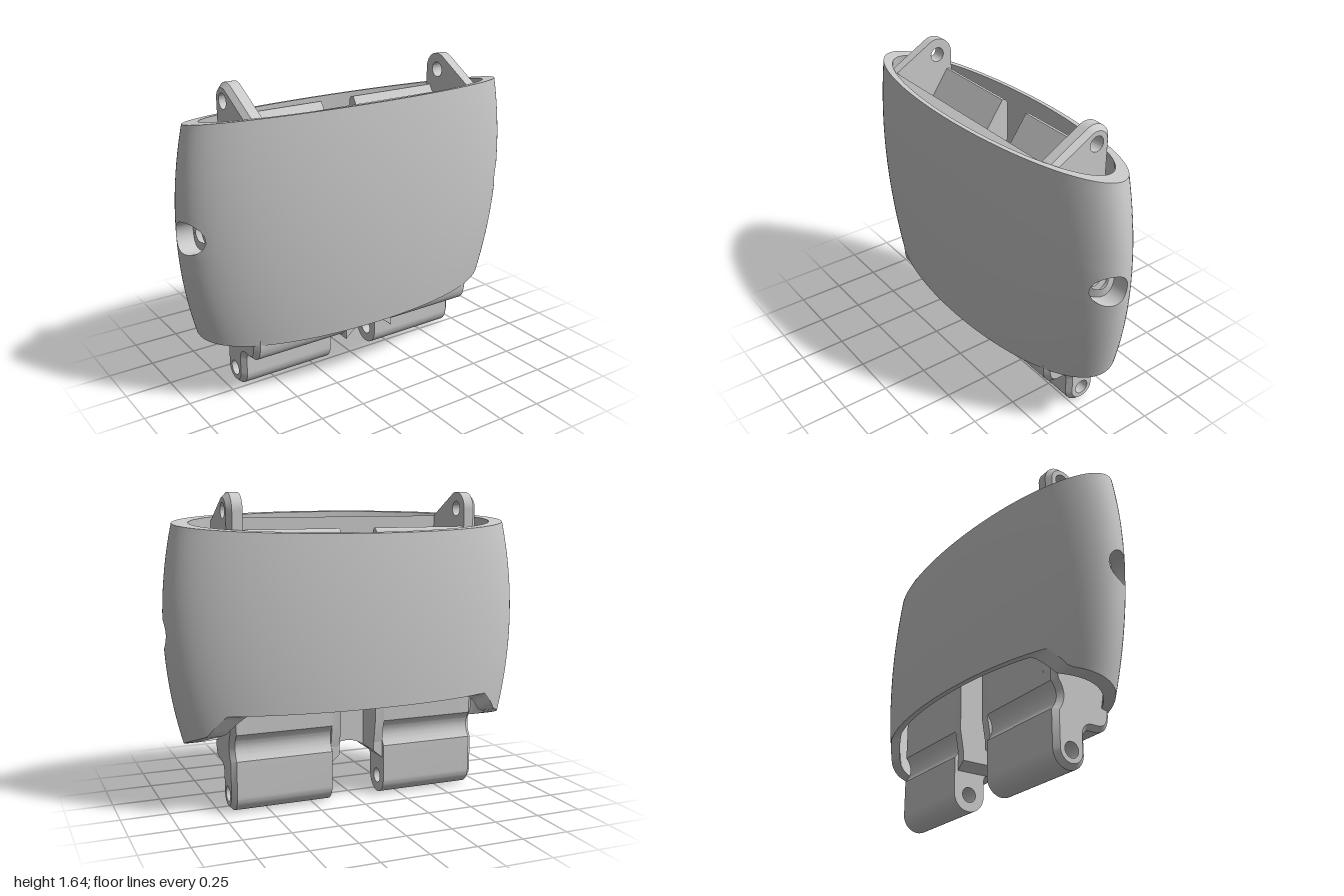
import * as THREE from 'three';
import { toCreasedNormals } from 'three/addons/utils/BufferGeometryUtils.js';

const solid = new THREE.MeshStandardMaterial({ color: 0xcccccc });
const thin = new THREE.MeshStandardMaterial({ color: 0xcccccc, side: THREE.DoubleSide });
const SEG = 128, ROWS = 24, INNER = 0.91;
const HOLE = { z: 0.05, y: 0.94, r: 0.04, bore: 0.085 };
const PIN = 0.06, PIN_TOP = 1.555, PIN_LOW = 0.09;

// Oval section of the shell at height y: half width, half depth, centre in z
const halfW = y => 1 - 0.228 * (y - 0.98) ** 2;
const halfD = y => 0.335 - 0.07 * (y - 0.94) ** 2;
const midZ = y => 0.03 * (y - 0.94);
const topY = z => 1.488 + 0.159 * z;
function bottomY(z) {
  if (z > -0.16) return 0.32 + 0.11 * ((0.29 - z) / 0.45) ** 2;
  return Math.min(0.54, 0.43 + (-0.16 - z) * 1.9);
}
const shellPoint = (t, y, k) =>
  [halfW(y) * k * Math.cos(t), y, midZ(y) + halfD(y) * k * Math.sin(t)];
function edgeY(t, k, rule) {
  let y = rule(0);
  for (let i = 0; i < 8; i++) y = rule(shellPoint(t, y, k)[2]);
  return y;
}
const shellX = (y, z, k) =>
  k * halfW(y) * Math.sqrt(Math.max(0, 1 - ((z - midZ(y)) / (k * halfD(y))) ** 2));

function indexed(points, index) {
  const g = new THREE.BufferGeometry();
  g.setAttribute('position', new THREE.Float32BufferAttribute(points.flat(), 3));
  g.setIndex(index);
  g.computeVertexNormals();
  return g;
}

// Shell wall: a grid with a square block left out on each side,
// filled by a ring that runs from the square to a round hole
function wall(k, holeR, flip) {
  const points = [], params = [], index = [];
  const add = (t, y) => {
    params.push([t, y]);
    return points.push(shellPoint(t, y, k)) - 1;
  };
  const quad = (a, up, side, far) => flip
    ? index.push(a, side, up, side, far, up)
    : index.push(a, up, side, side, up, far);
  const from = -4, to = 10, low = 10, high = 15, half = SEG / 2;
  const blocks = [[from, to], [half - to, half - from]];
  const at = (i, j) => ((i + SEG) % SEG) * (ROWS + 1) + j;
  for (let i = 0; i < SEG; i++) {
    const t = i / SEG * Math.PI * 2;
    const y0 = edgeY(t, k, bottomY), y1 = edgeY(t, k, topY);
    for (let j = 0; j <= ROWS; j++) add(t, y0 + (y1 - y0) * j / ROWS);
  }
  for (let i = from; i < SEG + from; i++) for (let j = 0; j < ROWS; j++) {
    if (j >= low && j < high && blocks.some(([a, b]) => i >= a && i < b)) continue;
    quad(at(i, j), at(i, j + 1), at(i + 1, j), at(i + 1, j + 1));
  }
  blocks.forEach(([a, b], side) => {
    let loop = [];
    for (let i = a; i < b; i++) loop.push(at(i, low));
    for (let j = low; j < high; j++) loop.push(at(b, j));
    for (let i = b; i > a; i--) loop.push(at(i, high));
    for (let j = high; j > low; j--) loop.push(at(a, j));
    const start = loop.map(n => {
      const [t, y] = params[n];
      return [t > Math.PI * 1.5 ? t - Math.PI * 2 : t, y];
    });
    const goal = loop.map(n => {
      const ang = Math.atan2(points[n][1] - HOLE.y, points[n][2] - HOLE.z);
      const y = HOLE.y + holeR * Math.sin(ang), z = HOLE.z + holeR * Math.cos(ang);
      const t = Math.asin((z - midZ(y)) / (k * halfD(y)));
      return [side ? Math.PI - t : t, y];
    });
    for (let s = 1; s <= 3; s++) {
      const next = start.map(([t, y], n) =>
        add(t + (goal[n][0] - t) * s / 3, y + (goal[n][1] - y) * s / 3));
      loop.forEach((n, m) => {
        const q = (m + 1) % loop.length;
        quad(n, next[m], loop[q], next[q]);
      });
      loop = next;
    }
  });
  return indexed(points, index);
}

// Flat rim joining the outer and inner wall
function rim(rule, flip) {
  const points = [], index = [];
  for (let i = 0; i <= SEG; i++) {
    const t = i / SEG * Math.PI * 2;
    for (const k of [1, INNER]) points.push(shellPoint(t, edgeY(t, k, rule), k));
    const n = i * 2;
    if (i < SEG) index.push(...(flip ? [n, n + 2, n + 1, n + 1, n + 2, n + 3]
      : [n, n + 1, n + 2, n + 1, n + 3, n + 2]));
  }
  return indexed(points, index);
}

// Side profiles are drawn with -z to the right and extruded along x
function extrudeX(shape, x0, x1, bevel = 0) {
  const g = new THREE.ExtrudeGeometry(shape, {
    depth: x1 - x0 - 2 * bevel, curveSegments: 20, bevelEnabled: bevel > 0,
    bevelThickness: bevel, bevelSize: bevel, bevelOffset: -bevel, bevelSegments: 1,
  });
  return g.rotateY(Math.PI / 2).translate(x0 + bevel, 0, 0);
}
const smooth = g => toCreasedNormals(g, 0.6);
function drill(shape, centres, r) {
  for (const [x, y] of centres)
    shape.holes.push(new THREE.Path().absarc(x, y, r, 0, Math.PI * 2, true));
  return shape;
}
// Front foot, hinge knuckle and back groove
function lowerProfile(s) {
  s.lineTo(-0.2, 0.45); s.lineTo(-0.19, 0.33);
  s.quadraticCurveTo(-0.19, 0.215, -0.1, 0.215);
  s.lineTo(-0.07, 0.215);
  s.quadraticCurveTo(-0.03, 0.215, -0.03, 0.17);
  s.lineTo(-0.03, PIN_LOW);
  s.absarc(PIN, PIN_LOW, 0.09, Math.PI, Math.PI * 2, false);
  s.lineTo(0.15, 0.28);
  s.quadraticCurveTo(0.09, 0.35, 0.15, 0.42);
}
function plateShape() {
  const s = new THREE.Shape();
  s.moveTo(0.15, PIN_TOP);
  s.absarc(PIN, PIN_TOP, 0.09, 0, 2.08, false);
  s.lineTo(-0.215, 1.503); s.lineTo(-0.215, 0.75);
  lowerProfile(s);
  s.closePath();
  return s;
}
function coreShape(full) {
  const s = new THREE.Shape();
  s.moveTo(0.155, 1.42);
  s.quadraticCurveTo(0.155, 1.46, 0.12, 1.46);
  s.lineTo(-0.2, 1.0); s.lineTo(-0.2, 1.51); s.lineTo(-0.25, 1.483); s.lineTo(-0.25, 0.75);
  if (full) lowerProfile(s);
  else { s.lineTo(-0.2, 0.45); s.lineTo(-0.19, 0.3); s.lineTo(0.13, 0.3); s.lineTo(0.15, 0.42); }
  s.closePath();
  return s;
}
const polygon = pts => new THREE.Shape(pts.map(p => new THREE.Vector2(...p)));

// Round wall along x whose outer end follows the shell
function sideTube(side, r, x0, end) {
  const g = new THREE.CylinderGeometry(r, r, 1, 48, 1, true).rotateZ(-Math.PI / 2);
  g.translate(0, HOLE.y, HOLE.z);
  const p = g.attributes.position;
  for (let i = 0; i < p.count; i++)
    p.setX(i, side * (p.getX(i) < 0 ? x0 : end(p.getY(i), p.getZ(i))));
  g.computeVertexNormals();
  return g;
}

export function createModel() {
  const model = new THREE.Group();
  const put = (name, geometry, parent = model, material = solid) => {
    const m = new THREE.Mesh(geometry, material);
    m.name = name;
    parent.add(m);
  };
  const group = name => {
    const g = new THREE.Group();
    g.name = name;
    model.add(g);
    return g;
  };

  const shell = group('shell');
  put('outerWall', wall(1, HOLE.bore, false), shell, thin);
  put('innerWall', wall(INNER, HOLE.r, true), shell, thin);
  put('topRim', rim(topY, false), shell, thin);
  put('bottomRim', rim(bottomY, true), shell, thin);

  const body = group('innerBody');
  const sideHole = [-HOLE.z, HOLE.y], lowPin = [PIN, PIN_LOW], topPin = [PIN, PIN_TOP];
  const plateHoles = [topPin, lowPin, sideHole];
  for (const side of [1, -1]) {
    const label = side > 0 ? 'left' : 'right';
    const span = (shape, a, b, bevel) =>
      side > 0 ? extrudeX(shape, a, b, bevel) : extrudeX(shape, -b, -a, bevel);

    // End plate with ear, chamfered outside; its holes are kept straight
    const edge = span(drill(plateShape(), plateHoles, 0.02), 0.63, 0.7, 0.025);
    const p = edge.attributes.position;
    for (let i = 0; i < p.count; i++) for (const [cx, cy] of plateHoles) {
      const dz = p.getZ(i) + cx, dy = p.getY(i) - cy, d = Math.hypot(dz, dy);
      if (d < 0.055) p.setXYZ(i, p.getX(i), cy + dy / d * HOLE.r, -cx + dz / d * HOLE.r);
    }
    put(label + 'EndPlate', smooth(edge), body);
    put(label + 'EndPlateInside',
      smooth(span(drill(plateShape(), plateHoles, HOLE.r), 0.62, 0.665)), body);

    // Sloped pocket with hinge knuckle, and its edge beside the centre slot
    put(label + 'Pocket',
      smooth(span(drill(coreShape(true), [lowPin, sideHole], HOLE.r), 0.15, 0.62)), body);
    put(label + 'SlotWall',
      smooth(span(drill(coreShape(false), [sideHole], HOLE.r), 0.1, 0.15)), body);
    const corner = polygon([[0.1, 0.252], [0.15, 0.21], [0.15, 0.3], [0.1, 0.3]]
      .map(([x, y]) => [x * side, y]));
    put(label + 'ArchCorner', new THREE.ExtrudeGeometry(corner, { depth: 0.15, bevelEnabled: false })
      .translate(0, 0, -0.13), body);

    // Side boss with counterbored screw hole
    const boss = group(label + 'Boss');
    const floorX = 0.86;
    put('bossWall', sideTube(side, 0.135, 0.69, (y, z) => shellX(y, z, INNER) + 0.01), boss, thin);
    put('counterbore', sideTube(side, HOLE.bore, floorX, (y, z) => shellX(y, z, 1)), boss, thin);
    put('screwHole', sideTube(side, HOLE.r, 0.69, () => floorX), boss, thin);
    put('counterboreFloor', new THREE.RingGeometry(HOLE.r, HOLE.bore, 48)
      .rotateY(side * Math.PI / 2).translate(side * floorX, HOLE.y, HOLE.z), boss, thin);
  }

  // Front wall and low floor across the centre slot
  put('slotFloor', extrudeX(polygon([[-0.2, 1.51], [-0.25, 1.483], [-0.25, 0.75], [-0.2, 0.45],
    [-0.19, 0.3], [-0.02, 0.3], [-0.02, 0.6], [-0.2, 0.48]]), -0.1, 0.1), body);

  // Arch between the two knuckles
  const arch = new THREE.Shape();
  arch.moveTo(-0.15, 0.21);
  arch.quadraticCurveTo(0, 0.36, 0.15, 0.21);
  arch.lineTo(0.15, 0.3);
  arch.lineTo(-0.15, 0.3);
  put('arch', smooth(new THREE.ExtrudeGeometry(arch, { depth: 0.17, bevelEnabled: false, curveSegments: 20 })
    .translate(0, 0, 0.02)), body);

  // Pad tying the body to the front of the shell
  put('frontPad', new THREE.BoxGeometry(0.68, 0.9, 0.035).translate(0, 0.93, 0.2575), body);
  return model;
}
